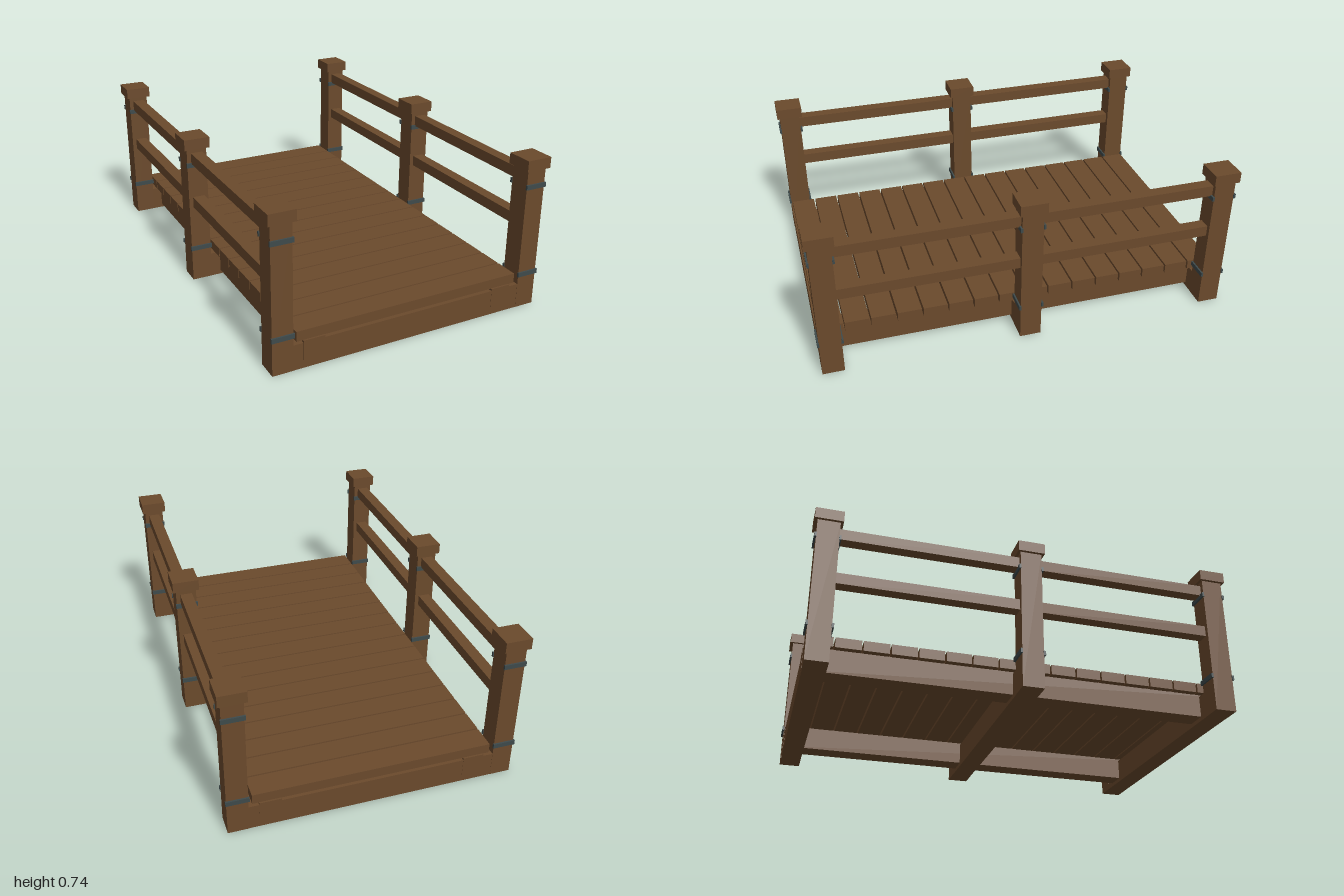
import * as THREE from 'three';

// Small wooden footbridge with railings and iron straps on the posts
export function createModel() {
  const bridge = new THREE.Group();
  bridge.name = 'footbridge';
  const wood = new THREE.MeshStandardMaterial({ color: 0x6b4a2c });
  wood.name = 'brown wood';
  const iron = new THREE.MeshStandardMaterial({ color: 0x3e4a4b });
  iron.name = 'dark iron';

  // Box given by its centre in x and z, and its bottom and top heights
  function addBox(name, material, parent, width, depth, bottom, top, x, z) {
    const mesh = new THREE.Mesh(new THREE.BoxGeometry(width, top - bottom, depth), material);
    mesh.name = name;
    mesh.position.set(x, (bottom + top) / 2, z);
    parent.add(mesh);
  }

  const postX = 0.626, postWidth = 0.097, postDepth = 0.102;
  const rows = [-0.937, 0, 0.937];

  for (const z of rows) {
    // Ground beam joining each pair of posts
    addBox('crossBeam', wood, bridge, 1.25, postDepth - 0.002, 0, 0.121, 0, z);

    for (const side of [-1, 1]) {
      const post = new THREE.Group();
      post.name = 'post';
      post.position.set(side * postX, 0, z);
      bridge.add(post);
      addBox('postShaft', wood, post, postWidth, postDepth, 0, 0.69, 0, 0);
      addBox('postCap', wood, post, 0.125, 0.128, 0.685, 0.737, 0, 0);
      // Iron straps on the front and back faces
      for (const y of [0.171, 0.606]) {
        for (const face of [-1, 1]) {
          addBox('strap', iron, post, 0.106, 0.01, y - 0.011, y + 0.011, 0, face * (postDepth / 2 + 0.003));
        }
      }
    }
  }

  for (const side of [-1, 1]) {
    // Long stringer carrying the deck
    addBox('stringer', wood, bridge, 0.1, 1.976, 0.019, 0.131, side * 0.48, 0);
    // Two rails in each bay
    for (const bay of [-1, 1]) {
      for (const y of [0.388, 0.612]) {
        addBox('rail', wood, bridge, 0.057, 0.85, y, y + 0.053, side * postX, bay * 0.4685);
      }
    }
  }

  // Deck boards
  for (let i = 0; i < 16; i++) {
    addBox('deckBoard', wood, bridge, 1.12, 0.115, 0.13, 0.177, 0, (i - 7.5) * 0.123);
  }

  return bridge;
}
